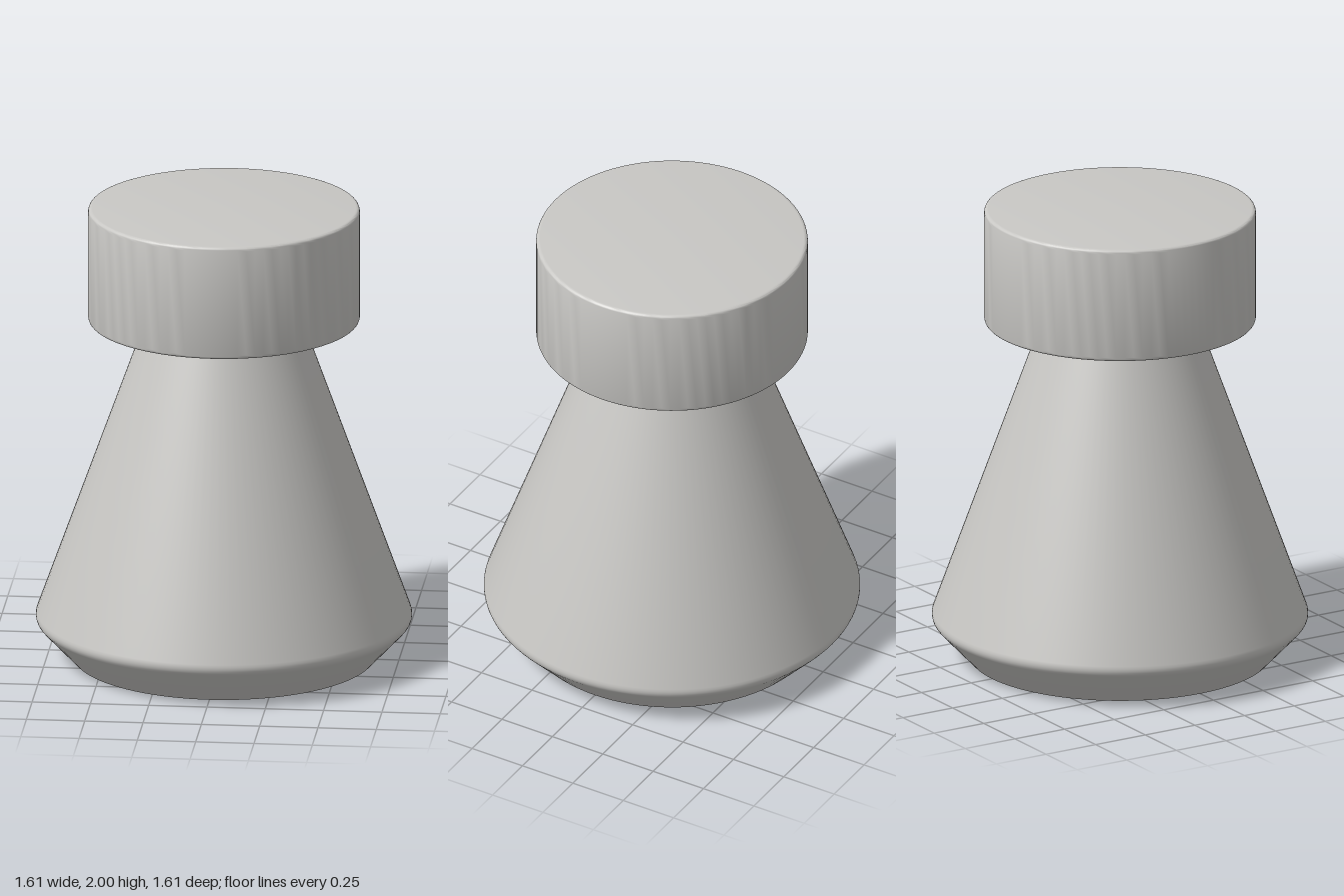
import * as THREE from 'three';
import { toCreasedNormals } from 'three/addons/utils/BufferGeometryUtils.js';

// Turns [radius, height, rounding] corners, listed bottom to top, into a solid
function turned(name, corners, material) {
  const pts = corners.map(([r, y]) => new THREE.Vector2(r, y));
  const profile = [];
  corners.forEach(([, , round], i) => {
    const p = pts[i];
    if (!round) return profile.push(p);
    const toward = (q) => q.clone().sub(p).setLength(round).add(p);
    const arc = new THREE.QuadraticBezierCurve(toward(pts[i - 1]), p, toward(pts[i + 1]));
    profile.push(...arc.getPoints(5));
  });
  const geometry = toCreasedNormals(new THREE.LatheGeometry(profile, 96), 0.5);
  const mesh = new THREE.Mesh(geometry, material);
  mesh.name = name;
  return mesh;
}

export function createModel() {
  const group = new THREE.Group();
  group.name = 'knob';
  const grey = new THREE.MeshStandardMaterial({ color: 0xc8c7c4 });
  grey.name = 'light grey';

  // Conical body with an undercut foot and a softened rim
  group.add(turned('body', [
    [0, 0], [0.645, 0], [0.81, 0.175, 0.03], [0.333, 1.5], [0, 1.5],
  ], grey));

  // Wide cylindrical cap with softened edges
  group.add(turned('cap', [
    [0, 1.5], [0.58, 1.5, 0.018], [0.58, 2, 0.018], [0, 2],
  ], grey));

  return group;
}
